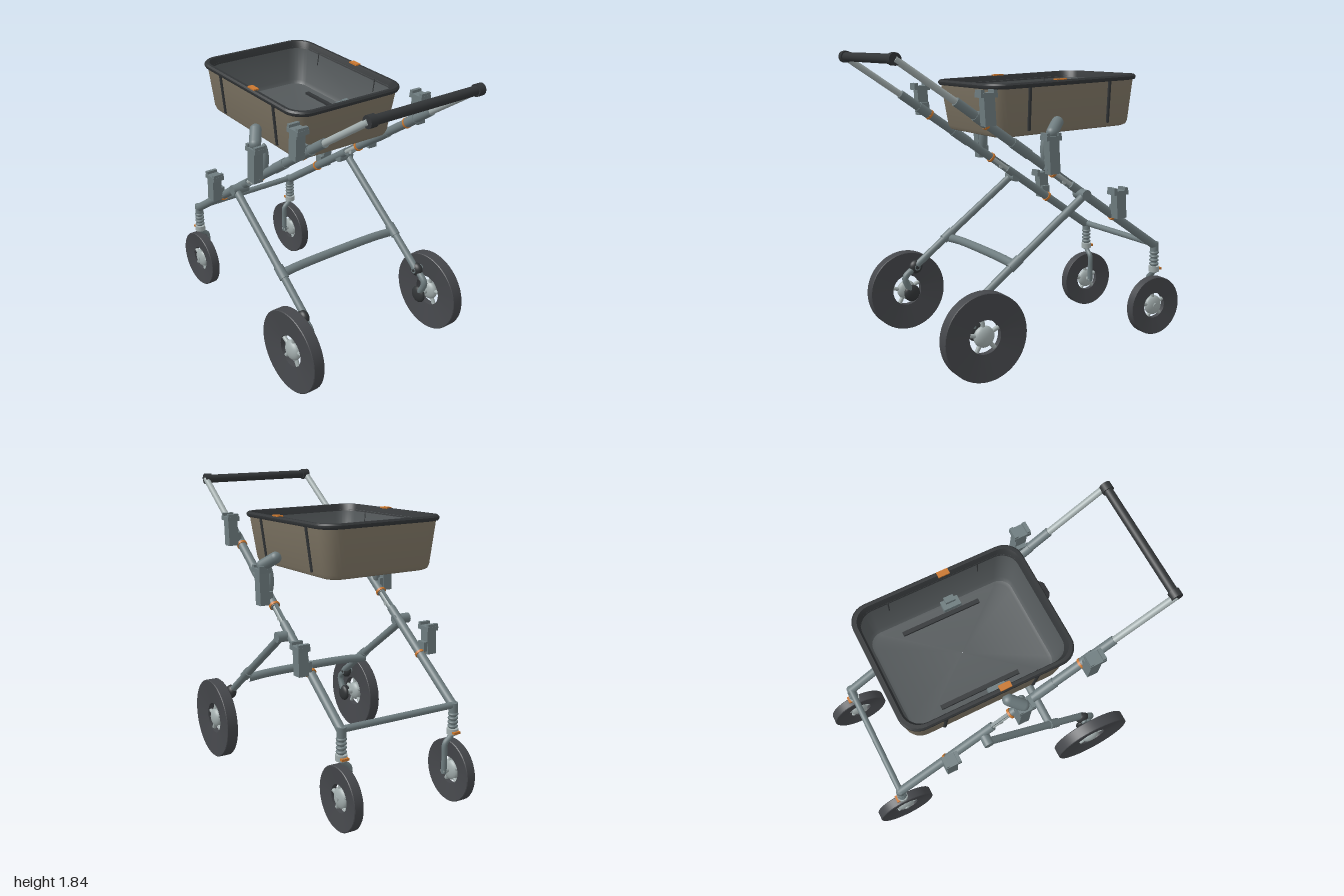
import * as THREE from 'three';
import { toCreasedNormals } from 'three/addons/utils/BufferGeometryUtils.js';

const mat = (name, color) => new THREE.MeshStandardMaterial({ name, color });

export function createModel() {
  const M = {
    frame: mat('frame grey', 0x6e7c7f),
    silver: mat('silver', 0xa2adad),
    tyre: mat('tyre grey', 0x45474b),
    dark: mat('dark trim', 0x323537),
    tan: mat('tan shell', 0x7d7463),
    liner: mat('liner grey', 0x54595b),
    orange: mat('orange', 0xc9772f),
  };
  const V = (x, y, z) => new THREE.Vector3(x, y, z);
  const model = new THREE.Group();
  model.name = 'pushCart';

  const add = (parent, name, geo, material, x = 0, y = 0, z = 0) => {
    const m = new THREE.Mesh(geo, material);
    m.name = name;
    m.position.set(x, y, z);
    parent.add(m);
    return m;
  };
  const box = (p, name, w, h, d, material, x, y, z) =>
    add(p, name, new THREE.BoxGeometry(w, h, d), material, x, y, z);
  const ball = (p, name, r, material, x, y, z) =>
    add(p, name, new THREE.SphereGeometry(r, 24, 16), material, x, y, z);
  // Round bar between two points
  const bar = (p, name, a, b, r, material, r2 = r) => {
    const d = b.clone().sub(a);
    const m = add(p, name, new THREE.CylinderGeometry(r2, r, d.length(), 24), material);
    m.position.copy(a).addScaledVector(d, 0.5);
    m.quaternion.setFromUnitVectors(V(0, 1, 0), d.normalize());
    return m;
  };
  const tube = (p, name, pts, r, material) =>
    add(p, name, new THREE.TubeGeometry(new THREE.CatmullRomCurve3(pts), 32, r, 14), material);

  // Rounded-rectangle rings [halfX, halfZ, cornerRadius, y] joined into a skin
  const loft = (rings) => {
    const seg = 7, n = 4 * (seg + 1), pos = [], idx = [];
    for (const [hx, hz, r, y] of rings)
      for (let c = 0; c < 4; c++)
        for (let k = 0; k <= seg; k++) {
          const a = (c + k / seg) * Math.PI / 2;
          const sx = c === 0 || c === 3 ? 1 : -1, sz = c < 2 ? 1 : -1;
          pos.push(sx * (hx - r) + r * Math.cos(a), y, sz * (hz - r) + r * Math.sin(a));
        }
    for (let i = 0; i < rings.length - 1; i++)
      for (let j = 0; j < n; j++) {
        const a = i * n + j, b = i * n + (j + 1) % n;
        idx.push(a, a + n, b + n, a, b + n, b);
      }
    const g = new THREE.BufferGeometry();
    g.setAttribute('position', new THREE.Float32BufferAttribute(pos, 3));
    g.setIndex(idx);
    return toCreasedNormals(g, 0.6);
  };

  // Wheel with dished tyre, five spokes and a domed hub
  const wheel = (name, x, y, z, R, hole, width) => {
    const g = new THREE.Group();
    g.name = name;
    g.position.set(x, y, z);
    const h = width / 2, q = h * 0.5;
    const prof = [[hole, -q], [R - 0.004, -h], [R, -h + 0.004], [R, h - 0.004], [R - 0.004, h], [hole, q], [hole, -q]];
    const ring = new THREE.LatheGeometry(prof.map(([a, b]) => new THREE.Vector2(a, b)), 64);
    ring.rotateX(Math.PI / 2);
    add(g, 'tyre', toCreasedNormals(ring, 0.5), M.tyre);
    const hub = ball(g, 'hub', 0.064, M.silver, 0, 0, 0);
    hub.scale.z = h * 0.95 / 0.064;
    for (let i = 0; i < 5; i++) {
      const a = i * Math.PI * 0.4 + 0.2;
      bar(g, 'spoke', V(0, 0, 0), V(Math.cos(a) * (hole + 0.005), Math.sin(a) * (hole + 0.005), 0), 0.013, M.silver);
    }
    model.add(g);
  };

  // Basket
  const basket = new THREE.Group();
  basket.name = 'basket';
  basket.position.set(-0.155, 1.36, 0);
  basket.rotation.z = -0.04;
  add(basket, 'shell', loft([
    [0.002, 0.002, 0.001, 0], [0.455, 0.325, 0.08, 0], [0.475, 0.342, 0.09, 0.008],
    [0.487, 0.352, 0.1, 0.03], [0.51, 0.383, 0.1, 0.285]]), M.tan);
  add(basket, 'rim', loft([
    [0.505, 0.38, 0.1, 0.28], [0.52, 0.396, 0.11, 0.283], [0.526, 0.402, 0.115, 0.293],
    [0.526, 0.402, 0.115, 0.303], [0.518, 0.394, 0.11, 0.313], [0.5, 0.376, 0.1, 0.313], [0.494, 0.37, 0.1, 0.3],
    [0.485, 0.36, 0.1, 0.27]]), M.dark);
  add(basket, 'liner', loft([
    [0.488, 0.363, 0.1, 0.28], [0.465, 0.335, 0.09, 0.06], [0.45, 0.32, 0.08, 0.038],
    [0.43, 0.3, 0.07, 0.032], [0.002, 0.002, 0.001, 0.032]]), M.liner);
  for (const s of [1, -1]) {
    for (const x of [-0.285, 0.275]) {
      bar(basket, 'sideStrap', V(x, 0.03, s * 0.351), V(x, 0.285, s * 0.383), 0.011, M.dark);
      bar(basket, 'innerSeam', V(x, 0.2, s * 0.354), V(x, 0.28, s * 0.363), 0.004, M.dark);
    }
    box(basket, 'floorRidge', 0.49, 0.016, 0.026, M.dark, -0.01, 0.038, s * 0.25);
    box(basket, 'innerLatch', 0.11, 0.03, 0.06, M.frame, 0.075, 0.05, s * 0.3);
    box(basket, 'innerLatchTop', 0.06, 0.03, 0.04, M.frame, 0.075, 0.07, s * 0.32);
    box(basket, 'rimTab', 0.07, 0.009, 0.036, M.orange, 0.065, 0.315, s * 0.377);
  }
  model.add(basket);

  // Point on the sloping rail
  const rail = (x, z) => V(x, 0.6 + (x + 0.8) * 0.686, z);
  const slope = Math.atan(0.686);

  for (const s of [1, -1]) {
    const side = new THREE.Group();
    side.name = s > 0 ? 'frontSide' : 'backSide';
    model.add(side);
    const z = s * 0.383, zl = s * 0.44;

    // Rails, folding joint and handle extension
    bar(side, 'lowerRail', rail(-0.81, z), rail(-0.15, z), 0.027, M.frame);
    bar(side, 'foldLink', rail(-0.17, z), rail(0, z), 0.016, M.silver);
    box(side, 'foldPlate', 0.24, 0.048, 0.018, M.frame, -0.09, 1.087, z).rotation.z = slope;
    bar(side, 'foldPin', V(-0.1, 1.065, z - 0.014), V(-0.1, 1.065, z + 0.014), 0.014, M.silver);
    bar(side, 'upperRail', rail(-0.04, z), rail(0.61, z), 0.027, M.frame);
    bar(side, 'railSleeve', rail(0.14, z), rail(0.25, z), 0.031, M.frame);
    bar(side, 'railSleeve', rail(0.41, z), rail(0.49, z), 0.031, M.frame);
    bar(side, 'handleExtension', rail(0.58, z), V(0.96, 1.8, z), 0.02, M.silver);
    bar(side, 'handleKnob', V(0.96, 1.8, s * 0.35), V(0.96, 1.8, s * 0.395), 0.035, M.dark);

    // Mounting brackets with orange collars
    for (const [x, y0, y1, zc] of [[0.45, 1.43, 1.63, 0.442], [0.025, 1.13, 1.37, 0.44], [-0.46, 0.82, 1.01, 0.445]]) {
      const b = new THREE.Group();
      b.name = 'mountBracket';
      b.position.set(x, y0, s * zc);
      const h = y1 - y0;
      box(b, 'post', 0.068, h - 0.02, 0.062, M.frame, -0.008, h / 2 - 0.01, 0).rotation.z = -0.06;
      box(b, 'topPlate', 0.104, 0.026, 0.076, M.frame, 0, h - 0.03, 0);
      for (const k of [-1, 1]) box(b, 'topLip', 0.022, 0.022, 0.07, M.frame, k * 0.04, h - 0.011, 0);
      box(b, 'railFoot', 0.06, 0.06, 0.05, M.frame, -0.008, 0.05, -s * 0.03);
      side.add(b);
    }
    for (const x of [0.413, -0.03, -0.47])
      bar(side, 'collar', rail(x - 0.006, z), rail(x + 0.006, z), 0.033, M.orange);

    // Swivel arm carrying the basket
    const arm = add(side, 'swivelArm', new THREE.CapsuleGeometry(0.036, 0.1, 8, 20), M.frame, -0.02, 1.397, s * 0.41);
    arm.quaternion.setFromUnitVectors(V(0, 1, 0), V(0.08, -0.06, s * 0.06).normalize());
    const disc = ball(side, 'swivelJoint', 0.03, M.frame, 0.03, 1.27, s * 0.385);
    disc.scale.set(1, 3.2, 0.9);

    // Rear leg, pivot and lower suspension
    bar(side, 'legPivot', V(-0.215, 0.985, s * 0.36), V(-0.215, 0.985, s * 0.468), 0.032, M.frame);
    bar(side, 'rearLeg', V(-0.225, 0.99, zl), V(0.27, 0.62, zl), 0.024, M.frame);
    bar(side, 'legSleeve', V(0.235, 0.647, zl), V(0.3, 0.598, zl), 0.03, M.frame);
    bar(side, 'lowerLeg', V(0.28, 0.613, zl), V(0.5, 0.445, zl), 0.023, M.frame);
    ball(side, 'upperJoint', 0.045, M.dark, 0.5, 0.435, s * 0.45).scale.z = 0.7;
    bar(side, 'jointPin', V(0.5, 0.435, s * 0.42), V(0.5, 0.435, s * 0.49), 0.02, M.frame);
    tube(side, 'swingArm', [V(0.5, 0.435, s * 0.45), V(0.575, 0.37, s * 0.45), V(0.53, 0.26, s * 0.45)], 0.021, M.frame);
    ball(side, 'axleJoint', 0.055, M.dark, 0.53, 0.26, s * 0.45).scale.z = 0.45;
    bar(side, 'rearAxle', V(0.53, 0.26, s * 0.43), V(0.53, 0.26, s * 0.56), 0.018, M.silver);
    wheel('rearWheel', 0.53, 0.26, s * 0.547, 0.26, 0.1, 0.075);

    // Front caster: cap, spring strut and one-sided fork
    bar(side, 'strutCap', V(-0.81, 0.555, z), V(-0.81, 0.615, z), 0.027, M.frame);
    bar(side, 'strut', V(-0.81, 0.41, z), V(-0.81, 0.56, z), 0.018, M.frame);
    for (let i = 0; i < 4; i++)
      add(side, 'springCoil', new THREE.TorusGeometry(0.022, 0.009, 10, 24).rotateX(Math.PI / 2), M.frame, -0.81, 0.47 + i * 0.025, z);
    bar(side, 'strutBase', V(-0.81, 0.42, z), V(-0.81, 0.455, z), 0.034, M.silver);
    box(side, 'lockTab', 0.03, 0.014, 0.045, M.orange, -0.842, 0.437, z);
    tube(side, 'fork', [V(-0.81, 0.43, z), V(-0.81, 0.4, s * 0.365), V(-0.81, 0.37, s * 0.333),
      V(-0.81, 0.28, s * 0.33), V(-0.81, 0.18, s * 0.33)], 0.017, M.frame);
    bar(side, 'frontAxle', V(-0.81, 0.195, s * 0.318), V(-0.81, 0.195, s * 0.416), 0.016, M.silver);
    wheel('frontWheel', -0.81, 0.193, z, 0.19, 0.082, 0.06);
  }

  // Cross members and handle grip
  bar(model, 'frontCrossbar', V(-0.81, 0.6, -0.38), V(-0.81, 0.6, 0.38), 0.02, M.frame);
  tube(model, 'rearCrossbar', [V(0.25, 0.6, -0.44), V(0.25, 0.611, -0.3), V(0.25, 0.615, 0),
    V(0.25, 0.611, 0.3), V(0.25, 0.6, 0.44)], 0.027, M.frame);
  bar(model, 'handleGrip', V(0.96, 1.8, -0.37), V(0.96, 1.8, 0.37), 0.027, M.dark);
  return model;
}
